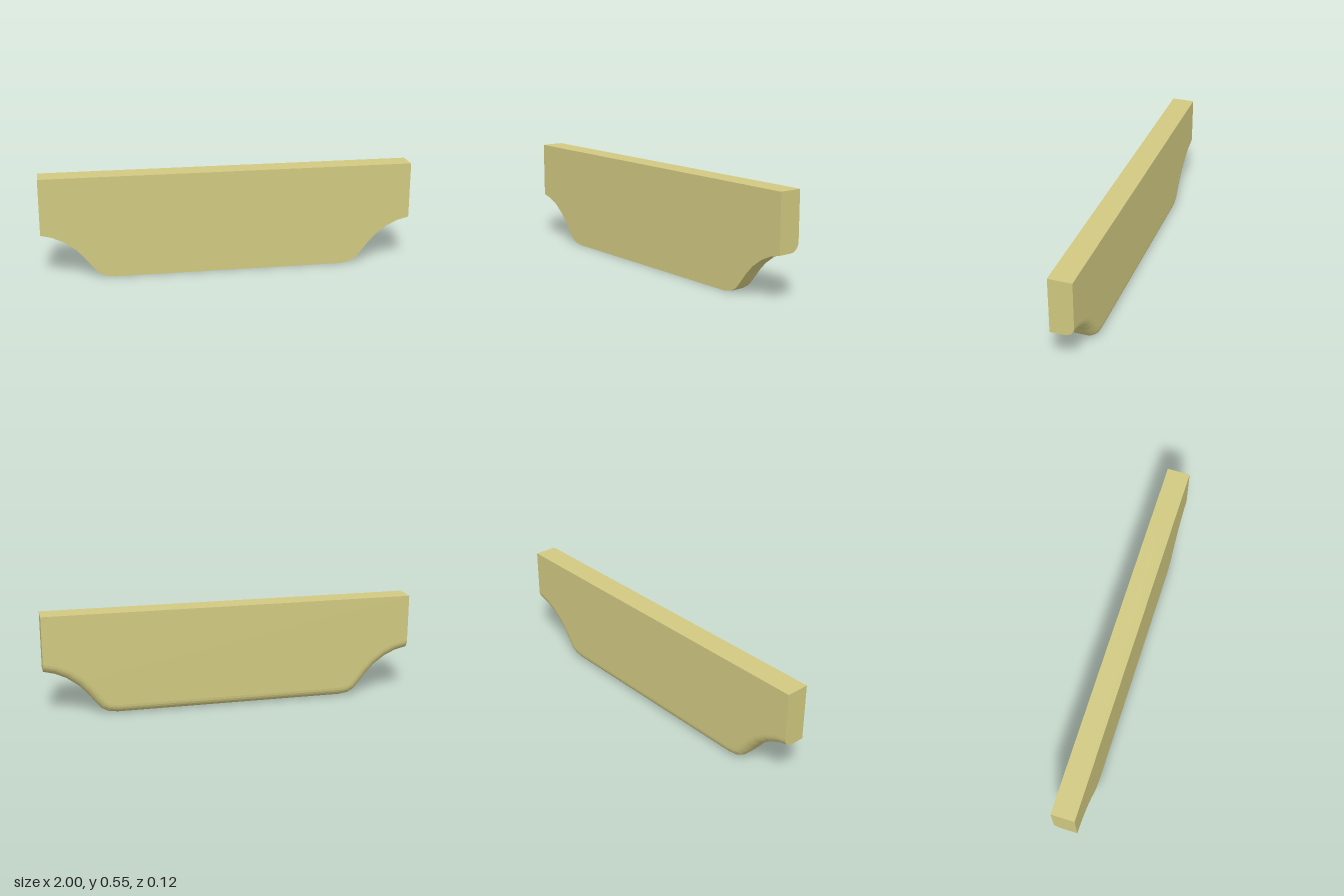
import * as THREE from 'three';

const HEIGHT = 0.553, HALF_DEPTH = 0.062, ROUND = 0.05, STEPS = 6;

// Right half of the lower edge, from the middle flat out to the end
const half = [[0.62, 0], [0.67, 0.008], [0.705, 0.028], [0.73, 0.057], [0.775, 0.115],
  [0.82, 0.163], [0.88, 0.207], [0.94, 0.235], [1, 0.25]].map(([x, y]) => new THREE.Vector2(x, y));
const mirrored = half.map((p) => new THREE.Vector2(-p.x, p.y)).reverse();
const lower = [...mirrored, ...half];

// Closed outline, counter-clockwise, with the lower edge moved inward by d
function outline(d) {
  const last = lower.length - 1;
  const inset = lower.map((p, i) => {
    if (i === 0 || i === last) return new THREE.Vector2(p.x, p.y + d); // ends stay vertical
    const before = p.clone().sub(lower[i - 1]).normalize();
    const after = lower[i + 1].clone().sub(p).normalize();
    const t = before.add(after).normalize();
    return new THREE.Vector2(p.x - t.y * d, p.y + t.x * d);
  });
  return [new THREE.Vector2(-1, HEIGHT), ...inset, new THREE.Vector2(1, HEIGHT)];
}

function boardGeometry() {
  // Outlines from the front face back through the rounded rear edge
  const rows = [{ z: HALF_DEPTH, loop: outline(0) }];
  for (let k = 0; k <= STEPS; k++) {
    const a = (k / STEPS) * Math.PI / 2;
    rows.push({
      z: -(HALF_DEPTH - ROUND) - ROUND * Math.sin(a),
      loop: outline(ROUND * (1 - Math.cos(a))),
    });
  }
  const positions = [], index = [], n = rows[0].loop.length;
  for (const { z, loop } of rows) for (const p of loop) positions.push(p.x, p.y, z);

  // Lower edge, ends and top
  for (let j = 0; j < rows.length - 1; j++) {
    for (let i = 0; i < n; i++) {
      const a = j * n + i, b = j * n + (i + 1) % n;
      index.push(a, a + n, b, b, a + n, b + n);
    }
  }
  // Front and back faces
  const back = (rows.length - 1) * n;
  for (const [a, b, c] of THREE.ShapeUtils.triangulateShape(rows[0].loop, [])) index.push(a, b, c);
  for (const [a, b, c] of THREE.ShapeUtils.triangulateShape(rows[rows.length - 1].loop, [])) {
    index.push(back + a, back + c, back + b);
  }

  const geometry = new THREE.BufferGeometry();
  geometry.setAttribute('position', new THREE.Float32BufferAttribute(positions, 3));
  geometry.setIndex(index);
  const flat = geometry.toNonIndexed();
  flat.computeVertexNormals();
  return flat;
}

export function createModel() {
  const group = new THREE.Group();
  group.name = 'shapedBoard';
  const material = new THREE.MeshStandardMaterial({ color: 0xd0c880, flatShading: true });
  const board = new THREE.Mesh(boardGeometry(), material);
  board.name = 'board';
  group.add(board);
  return group;
}
